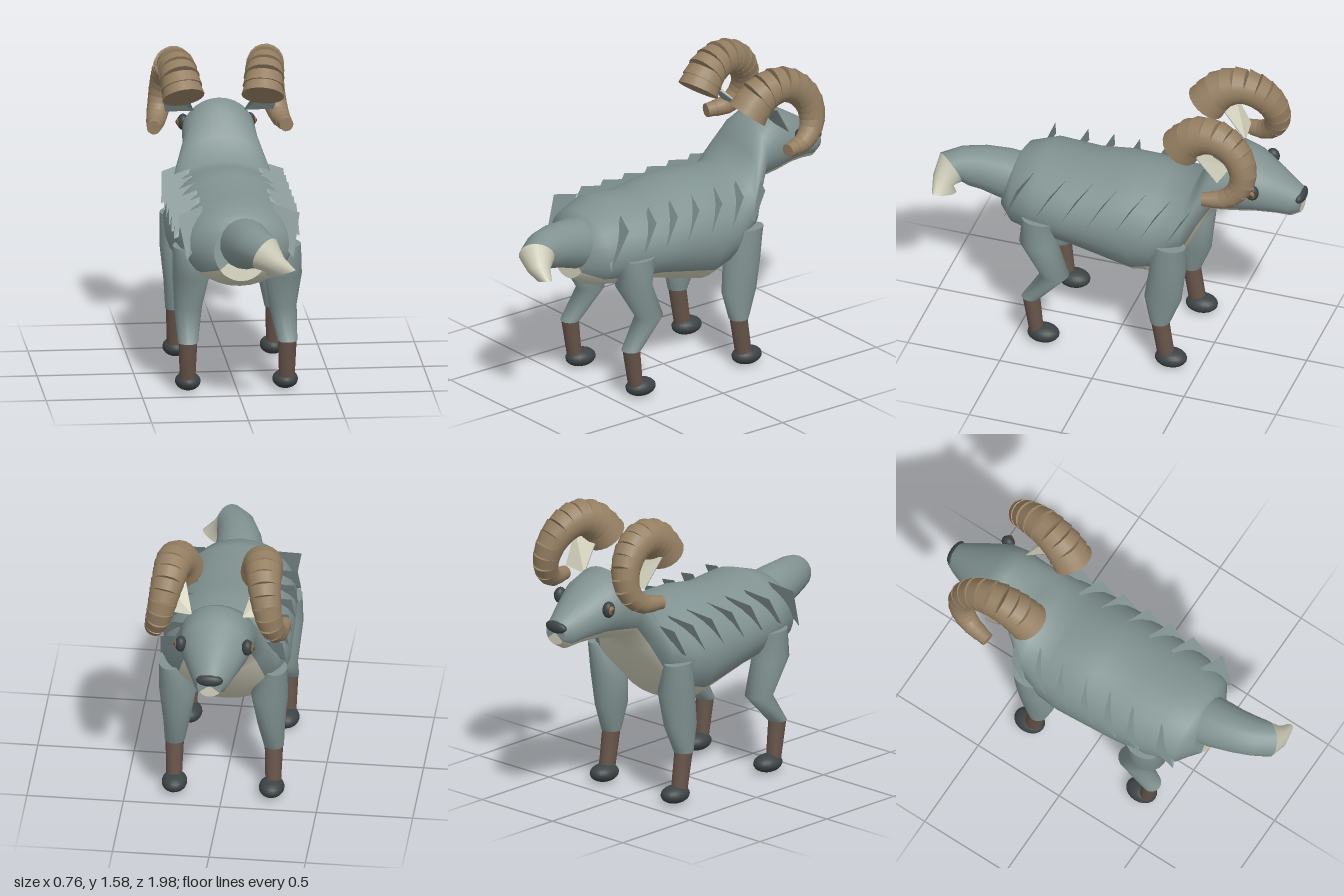
import * as THREE from 'three';

const mat = (name, color, side = THREE.FrontSide) => {
  const m = new THREE.MeshStandardMaterial({ color, side });
  m.name = name;
  return m;
};
const V = (x, y, z) => new THREE.Vector3(x, y, z);

// Skin a list of rings; capped ends keep a sharp edge. pick(j) gives the material index of a column.
function loft(rings, pick = () => 0) {
  const n = rings[0].length;
  const hub = (r) => {
    const c = r.reduce((s, p) => s.add(p), V(0, 0, 0)).divideScalar(n);
    return r.map(() => c);
  };
  const first = rings[0], last = rings[rings.length - 1];
  const all = [hub(first), first, ...rings, last, hub(last)];
  const faces = [[], []];
  for (let i = 0; i < all.length - 1; i++) {
    if (all[i] === all[i + 1]) continue;
    for (let j = 0; j < n; j++) {
      const k = (j + 1) % n;
      const a = i * n + j, b = i * n + k, c = a + n, d = b + n;
      faces[pick(j)].push(a, b, c, b, d, c);
    }
  }
  const g = new THREE.BufferGeometry().setFromPoints(all.flat());
  g.setIndex([...faces[0], ...faces[1]]);
  g.addGroup(0, faces[0].length, 0);
  g.addGroup(faces[0].length, faces[1].length, 1);
  g.computeVertexNormals();
  return g;
}

// Flat four-cornered plate
function quad(a, b, c, d) {
  const g = new THREE.BufferGeometry().setFromPoints([a, b, c, a, c, d]);
  g.computeVertexNormals();
  return g;
}

export function createModel() {
  const group = new THREE.Group();
  const coat = mat('greyCoat', 0x819392);
  const plateCoat = mat('greyPlate', 0x819392, THREE.DoubleSide);
  const cream = mat('cream', 0xcfcdb9);
  const creamThin = mat('creamThin', 0xcfcdb9, THREE.DoubleSide);
  const horn = mat('hornTan', 0x957f62);
  const sock = mat('sockBrown', 0x665449);
  const dark = mat('hoofDark', 0x3c4344);
  const amber = mat('amber', 0x9a6a3c);

  const add = (name, geometry, material, pos) => {
    const m = new THREE.Mesh(geometry, material);
    m.name = name;
    if (pos) m.position.set(...pos);
    group.add(m);
    return m;
  };
  const ball = (name, material, pos, size) =>
    add(name, new THREE.SphereGeometry(1, 20, 14), material, pos).scale.set(...size);

  // Body, neck and head: top z, top y, bottom z, bottom y, half width
  const sections = [
    [0.575, 0.94, 0.635, 0.65, 0.14], [0.54, 0.99, 0.54, 0.6, 0.25],
    [0.4, 1.035, 0.4, 0.575, 0.3], [0.2, 1.01, 0.2, 0.56, 0.32],
    [0, 1.045, 0, 0.5, 0.328], [-0.13, 1.048, -0.13, 0.465, 0.33],
    [-0.25, 1.03, -0.25, 0.51, 0.325], [-0.4, 1.015, -0.4, 0.67, 0.285],
    [-0.46, 1.13, -0.47, 0.81, 0.235], [-0.53, 1.24, -0.53, 0.91, 0.195],
    [-0.63, 1.295, -0.65, 0.92, 0.19], [-0.72, 1.26, -0.75, 0.943, 0.178],
    [-0.85, 1.18, -0.86, 0.94, 0.125], [-0.93, 1.125, -0.93, 0.93, 0.09],
    [-0.975, 1.09, -0.98, 0.96, 0.065],
  ];
  const edge = 2.22, angles = [];
  for (let i = 0; i < 20; i++) angles.push(-edge + (2 * edge * i) / 20);
  for (let i = 0; i < 8; i++) angles.push(edge + (2 * (Math.PI - edge) * i) / 8);
  const bodyRings = sections.map(([zt, yt, zb, yb, w]) => angles.map((a) => {
    const t = (1 - Math.cos(a)) / 2;
    return V(w * Math.sin(a), yt + (yb - yt) * t, zt + (zb - zt) * t);
  }));
  add('bodyAndHead', loft(bodyRings, (j) => (j < 20 ? 0 : 1)), [coat, cream]);

  // Legs: y, z centre, z radius, x centre, x radius, from the top down
  const legRings = (rows, s) => rows.map(([y, z, rz, x, rx]) =>
    Array.from({ length: 16 }, (_, j) => {
      const a = (j / 16) * Math.PI * 2;
      return V(s * x + rx * Math.cos(a), y, z + rz * Math.sin(a));
    }));
  const legs = {
    hind: {
      upper: [[0.775, 0.362, 0.092, 0.272, 0.06], [0.62, 0.38, 0.097, 0.238, 0.097],
        [0.43, 0.285, 0.075, 0.245, 0.072], [0.27, 0.41, 0.05, 0.257, 0.052]],
      lower: [[0.27, 0.41, 0.045, 0.257, 0.048], [0.05, 0.38, 0.037, 0.257, 0.04]],
      hoofZ: 0.345,
    },
    front: {
      upper: [[0.77, -0.345, 0.086, 0.272, 0.06], [0.6, -0.325, 0.097, 0.238, 0.097],
        [0.42, -0.302, 0.1, 0.245, 0.072], [0.27, -0.29, 0.052, 0.257, 0.052]],
      lower: [[0.27, -0.29, 0.047, 0.257, 0.048], [0.05, -0.325, 0.045, 0.257, 0.04]],
      hoofZ: -0.347,
    },
  };

  // Horn centre line and radius, from the thick base to the tip
  const hornPath = new THREE.CatmullRomCurve3([
    V(0.205, 1.365, -0.385), V(0.22, 1.455, -0.46), V(0.235, 1.492, -0.565),
    V(0.25, 1.455, -0.67), V(0.272, 1.36, -0.74), V(0.295, 1.255, -0.74),
    V(0.32, 1.18, -0.67), V(0.342, 1.165, -0.555)]);
  const hornCount = 16;
  const hornRadius = (t) => 0.108 - 0.03 * t - 0.042 * t * t;

  for (const s of [1, -1]) {
    const side = s > 0 ? 'left' : 'right';
    for (const [name, leg] of Object.entries(legs)) {
      add(`${side} ${name} leg`, loft(legRings(leg.upper, s)), coat);
      add(`${side} ${name} sock`, loft(legRings(leg.lower, s)), sock);
      ball(`${side} ${name} hoof`, dark, [s * 0.252, 0.05, leg.hoofZ], [0.066, 0.047, 0.085]);
    }

    // Horn of overlapping tapered rings
    for (let i = 0; i < hornCount; i++) {
      const a = hornPath.getPointAt(i / hornCount), b = hornPath.getPointAt((i + 1) / hornCount);
      a.x *= s;
      b.x *= s;
      const dir = b.clone().sub(a), r = hornRadius((i + 0.5) / hornCount);
      const ring = add(`${side} horn ring`,
        new THREE.CylinderGeometry(r * 0.92, r * 1.03, dir.length() * 1.2, 18), horn);
      ring.position.copy(a).addScaledVector(dir, 0.6);
      ring.quaternion.setFromUnitVectors(V(0, 1, 0), dir.normalize());
    }

    // Ear: coat at the back, cream lining
    const ear = [[0.13, 1.23, -0.62], [0.28, 1.235, -0.6], [0.31, 1.39, -0.5], [0.18, 1.36, -0.48]];
    const earAt = (dz) => quad(...ear.map(([x, y, z]) => V(s * x, y, z + dz)));
    add(`${side} ear`, earAt(0), plateCoat);
    add(`${side} ear lining`, earAt(-0.006), creamThin);

    // Overhanging flank plates
    [0.42, 0.24, 0.1, -0.04, -0.19, -0.33, -0.47].forEach((z, i) => {
      const low = i === 0 ? V(s * 0.275, 0.745, z + 0.135) : V(s * 0.325, 0.815, z + 0.13);
      add(`${side} flank plate`, quad(V(s * 0.18, 1.0, z), V(s * 0.315, 0.965, z + 0.05),
        low, V(s * 0.2, 0.85, z + 0.1)), plateCoat);
    });

    // Eye
    ball(`${side} eye`, dark, [s * 0.172, 1.135, -0.76], [0.03, 0.043, 0.036]);
    ball(`${side} iris`, amber, [s * 0.186, 1.135, -0.762], [0.022, 0.027, 0.023]);
    ball(`${side} pupil`, dark, [s * 0.2, 1.135, -0.764], [0.011, 0.013, 0.011]);
  }

  ball('nose', dark, [0, 1.053, -0.97], [0.07, 0.033, 0.03]);

  // Tail: rings facing along n, flaring again at the pale tip
  const tailRing = (x, y, z, nx, ny, nz, r, flat = 1) => {
    const n = V(nx, ny, nz).normalize();
    const u = V(0, 1, 0).addScaledVector(n, -n.y).normalize();
    const w = u.clone().cross(n);
    return Array.from({ length: 18 }, (_, j) => {
      const a = (-j / 18) * Math.PI * 2;
      return V(x, y, z).addScaledVector(u, r * Math.cos(a)).addScaledVector(w, r * flat * Math.sin(a));
    });
  };
  const seam = tailRing(0.095, 0.865, 0.9, 0.65, -0.4, 0.6, 0.093);
  add('tail', loft([
    tailRing(0.02, 0.825, 0.54, 0, 0.1, 1, 0.135), tailRing(0.025, 0.845, 0.63, 0.05, 0.15, 1, 0.13),
    tailRing(0.04, 0.865, 0.74, 0.2, 0.1, 1, 0.115), tailRing(0.065, 0.87, 0.83, 0.4, -0.1, 0.9, 0.104),
    seam]), coat);
  add('tailTip', loft([
    seam, tailRing(0.145, 0.81, 0.925, 0.55, -0.75, 0.3, 0.06),
    tailRing(0.175, 0.755, 0.91, 0.3, -0.95, 0.15, 0.088, 0.4)]), cream);

  return group;
}
